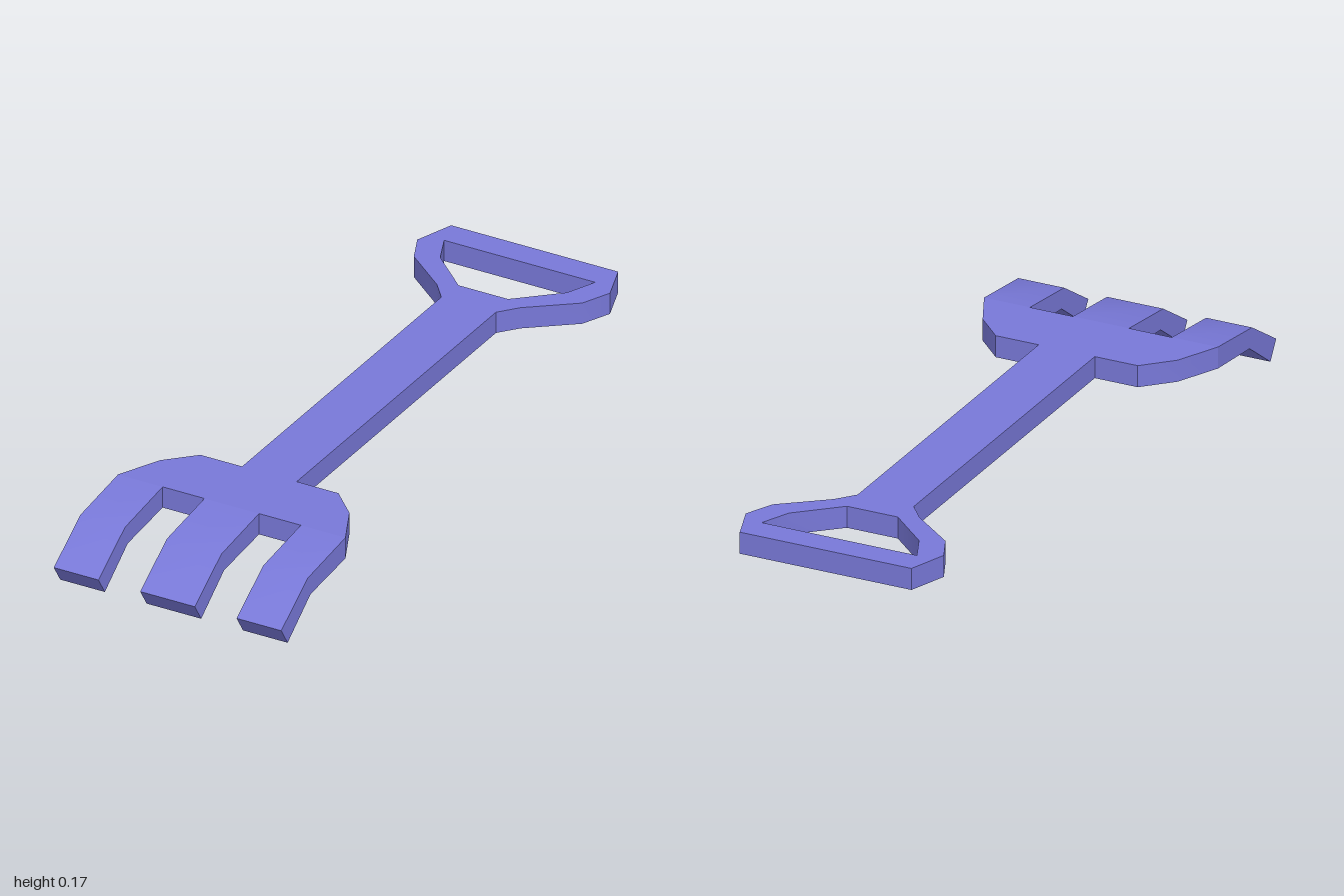
import * as THREE from 'three';
import { toCreasedNormals } from 'three/addons/utils/BufferGeometryUtils.js';

const BOTTOM = 0.109, TOP = 0.173, HALF_SHAFT = 0.085, HEAD_FRONT = 0.65;

export function createModel() {
  const group = new THREE.Group();
  const material = new THREE.MeshStandardMaterial({ color: 0x7878d8 });

  const add = (name, geometry) => {
    const mesh = new THREE.Mesh(toCreasedNormals(geometry, Math.PI / 6), material);
    mesh.name = name;
    group.add(mesh);
  };

  // Closed outline from [x, z] points of the left half, mirrored across x = 0
  const mirrored = (half) => [
    ...half,
    ...half.map(([x, z]) => [-x, z]).reverse(),
  ].map(([x, z]) => new THREE.Vector2(x, -z));

  // Flat plate between BOTTOM and TOP; a hole winds opposite to the outline
  const plate = (half, hole) => {
    const shape = new THREE.Shape(mirrored(half));
    if (hole) shape.holes.push(new THREE.Path(mirrored(hole).reverse()));
    return new THREE.ExtrudeGeometry(shape, { depth: TOP - BOTTOM, bevelEnabled: false })
      .rotateX(-Math.PI / 2)
      .translate(0, BOTTOM, 0);
  };

  // Open grip
  add('handle', plate(
    [[0.26, -1], [0.3, -0.885], [0.262, -0.8], [0.13, -0.695], [HALF_SHAFT, -0.64]],
    [[0.235, -0.918], [0.197, -0.83], [0.077, -0.72]],
  ));

  // Straight shaft
  add('shaft', plate([[HALF_SHAFT, -0.64], [HALF_SHAFT, 0.445]]));

  // Shoulders that carry the tines
  add('head', plate([[0.215, 0.445], [0.295, 0.525], [0.354, HEAD_FRONT]]));

  // Tines: a bent side profile [z, y] extruded across the width
  const profile = [
    [HEAD_FRONT, BOTTOM], [0.84, 0.09], [0.965, 0],
    [1, 0.054], [0.855, 0.147], [HEAD_FRONT, TOP],
  ].map(([z, y]) => new THREE.Vector2(z, y));

  const tine = (name, x, width) => add(name,
    new THREE.ExtrudeGeometry(new THREE.Shape(profile), { depth: width, bevelEnabled: false })
      .translate(0, 0, -width / 2)
      .rotateY(-Math.PI / 2)
      .translate(x, 0, 0));

  tine('middleTine', 0, HALF_SHAFT * 2);
  tine('leftTine', 0.2845, 0.139);
  tine('rightTine', -0.2845, 0.139);

  return group;
}
